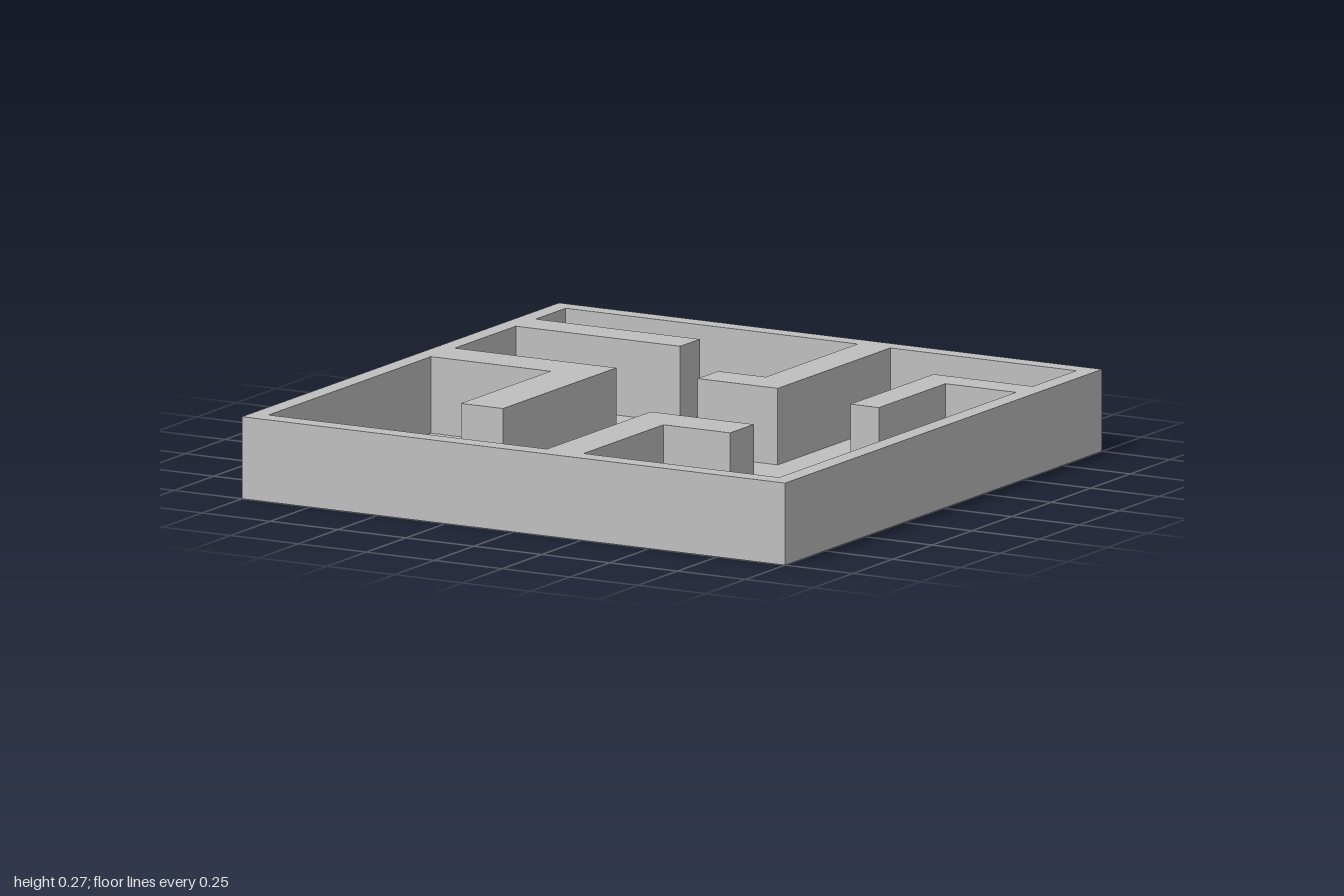
import * as THREE from 'three';

const HEIGHT = 0.267;
const FLOOR = 0.018;

// Inner outline of the walls as [x, z] corners
const CAVITY = [
  [-0.94, -0.94], [0.135, -0.94],
  [0.135, -0.36], [-0.04, -0.36], [-0.04, -0.23], [0.255, -0.23], // hooked back wall
  [0.255, -0.94], [0.94, -0.94],
  [0.94, -0.665], [0.575, -0.665], [0.575, -0.14], [0.68, -0.14], [0.68, -0.56], // left hooked wall
  [0.94, -0.56], [0.94, 0.935],
  [0.22, 0.935], [0.22, 0.43], [0.465, 0.43], [0.465, 0.28], [0.085, 0.28], // hooked front wall
  [0.085, 0.935], [-0.94, 0.935],
  [-0.94, -0.09], [-0.5, -0.09], [-0.5, 0.475], [-0.345, 0.475], [-0.345, -0.24], // right hooked wall
  [-0.94, -0.24], [-0.94, -0.625],
  [-0.335, -0.625], [-0.335, -0.75], [-0.94, -0.75], // straight right wall
];

const toPoints = (list) => list.map(([x, z]) => new THREE.Vector2(x, z));

export function createModel() {
  const model = new THREE.Group();
  const grey = new THREE.MeshStandardMaterial({ name: 'light grey', color: 0xbfbfbf });

  // Thin square floor slab
  const floor = new THREE.Mesh(new THREE.BoxGeometry(2, FLOOR, 2), grey);
  floor.name = 'floor';
  floor.position.y = FLOOR / 2;
  model.add(floor);

  // Outer rim and partitions in one extrusion, laid flat so depth runs down from the top
  const outline = new THREE.Shape(toPoints([[-1, -1], [1, -1], [1, 1], [-1, 1]]));
  outline.holes.push(new THREE.Path(toPoints(CAVITY)));
  const wallGeometry = new THREE.ExtrudeGeometry(outline, { depth: HEIGHT - FLOOR, bevelEnabled: false });
  wallGeometry.rotateX(Math.PI / 2).translate(0, HEIGHT, 0);
  const walls = new THREE.Mesh(wallGeometry, grey);
  walls.name = 'mazeWalls';
  model.add(walls);

  return model;
}
